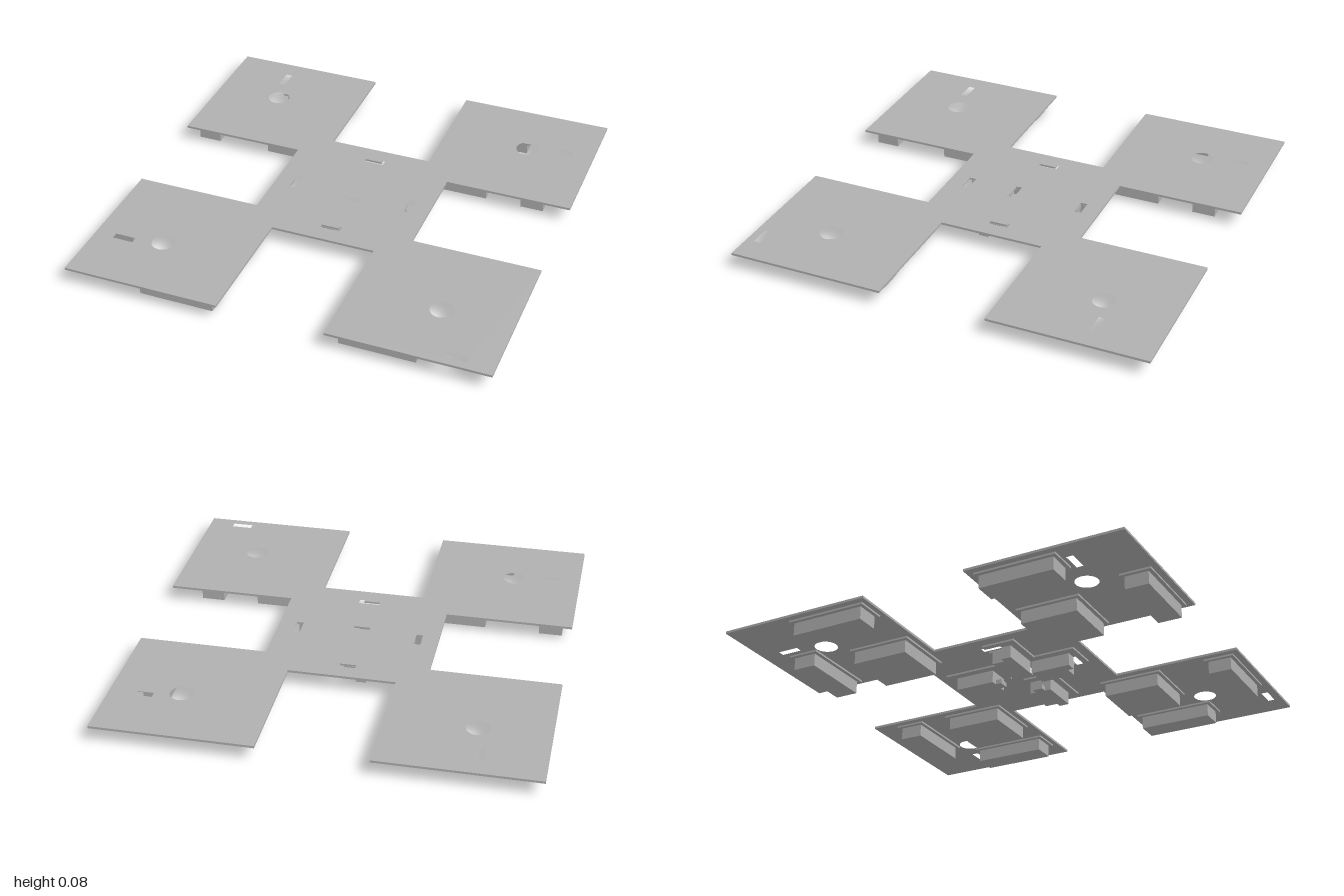
import * as THREE from 'three';

export function createModel() {
  const model = new THREE.Group();
  const grey = new THREE.MeshStandardMaterial({ color: 0xb0b0b0 });
  grey.name = 'plainGrey';

  // Flat outline in (x, z), raised from y0 to y1
  const toVec = (pts) => pts.map(([x, z]) => new THREE.Vector2(x, -z));
  const rect = (x0, x1, z0, z1) => [[x0, z0], [x1, z0], [x1, z1], [x0, z1]];
  function slab(name, pts, y0, y1, holes = []) {
    const shape = new THREE.Shape(toVec(pts));
    shape.holes = holes;
    const geo = new THREE.ExtrudeGeometry(shape, { depth: y1 - y0, bevelEnabled: false, curveSegments: 32 });
    geo.rotateX(-Math.PI / 2).translate(0, y0, 0);
    const mesh = new THREE.Mesh(geo, grey);
    mesh.name = name;
    model.add(mesh);
  }

  // Slots (centre x, centre z, runs along x) and round holes
  const slots = [
    [-0.71, -0.85, false], [0.845, -0.71, true], [0.825, 0.945, true], [-0.855, 0.705, true],
    [0, -0.295, true], [0, 0.05, true], [0, 0.287, true], [-0.295, 0, false], [0.29, 0, false],
  ];
  const holes = slots.map(([x, z, alongX]) => {
    const w = alongX ? 0.05 : 0.016, d = alongX ? 0.016 : 0.05;
    return new THREE.Path(toVec(rect(x - w, x + w, z - d, z + d)));
  });
  for (const sx of [-1, 1]) for (const sz of [-1, 1]) {
    const hole = new THREE.Path();
    hole.absarc(sx * 0.672, sz * 0.672, 0.054, 0, Math.PI * 2, true);
    holes.push(hole);
  }

  // Top plate: four square panels joined by a central square
  slab('topPlate', [
    [-1, -1], [-0.255, -1], [-0.255, -0.39], [0.25, -0.39], [0.25, -1], [1, -1],
    [1, -0.255], [0.388, -0.255], [0.388, 0.25], [1, 0.25], [1, 1], [0.25, 1],
    [0.25, 0.386], [-0.255, 0.386], [-0.255, 1], [-1, 1], [-1, 0.25], [-0.39, 0.25],
    [-0.39, -0.255], [-1, -0.255],
  ], 0.07, 0.081, holes);

  // A foot with a slightly wider thin flange above it
  function foot(name, x, z, w, d) {
    const box = (g) => rect(x - w / 2 - g, x + w / 2 + g, z - d / 2 - g, z + d / 2 + g);
    slab(name, box(0), 0, 0.061);
    slab(name + 'Flange', box(0.018), 0.061, 0.07);
  }

  // Two bars and an inner block under every panel
  for (const sx of [-1, 1]) for (const sz of [-1, 1]) {
    foot('innerBlock', sx * 0.438, sz * 0.438, 0.275, 0.275);
    foot('sideBar', sx > 0 ? 0.805 : -0.895, sz * 0.475, 0.112, 0.355);
    foot('endBar', sx * 0.475, sz > 0 ? 0.895 : -0.805, 0.355, 0.112);
  }

  // Four notched arms around the centre, in (outward, across) coordinates
  const body = [[0.105, -0.01], [0.272, -0.01], [0.272, 0.051], [0.3, 0.051], [0.3, 0.1], [0.105, 0.1]];
  const flange = [
    [0.07, -0.03], [0.27, -0.03], [0.27, 0.052], [0.313, 0.052],
    [0.313, -0.03], [0.34, -0.03], [0.34, 0.135], [0.07, 0.135],
  ];
  const arms = [
    ['left', (a, b) => [a, b]], ['right', (a, b) => [-a, b]],
    ['front', (a, b) => [-b, a]], ['back', (a, b) => [-b, -a]],
  ];
  for (const [side, place] of arms) {
    const map = (pts) => pts.map(([a, b]) => place(a, b));
    slab(side + 'Arm', map(body), 0, 0.061);
    slab(side + 'ArmFlange', map(flange), 0.061, 0.07);
    if (side === 'left' || side === 'back') slab(side + 'Hook', map(rect(0.075, 0.106, 0.02, 0.07)), 0, 0.022);
  }
  return model;
}
